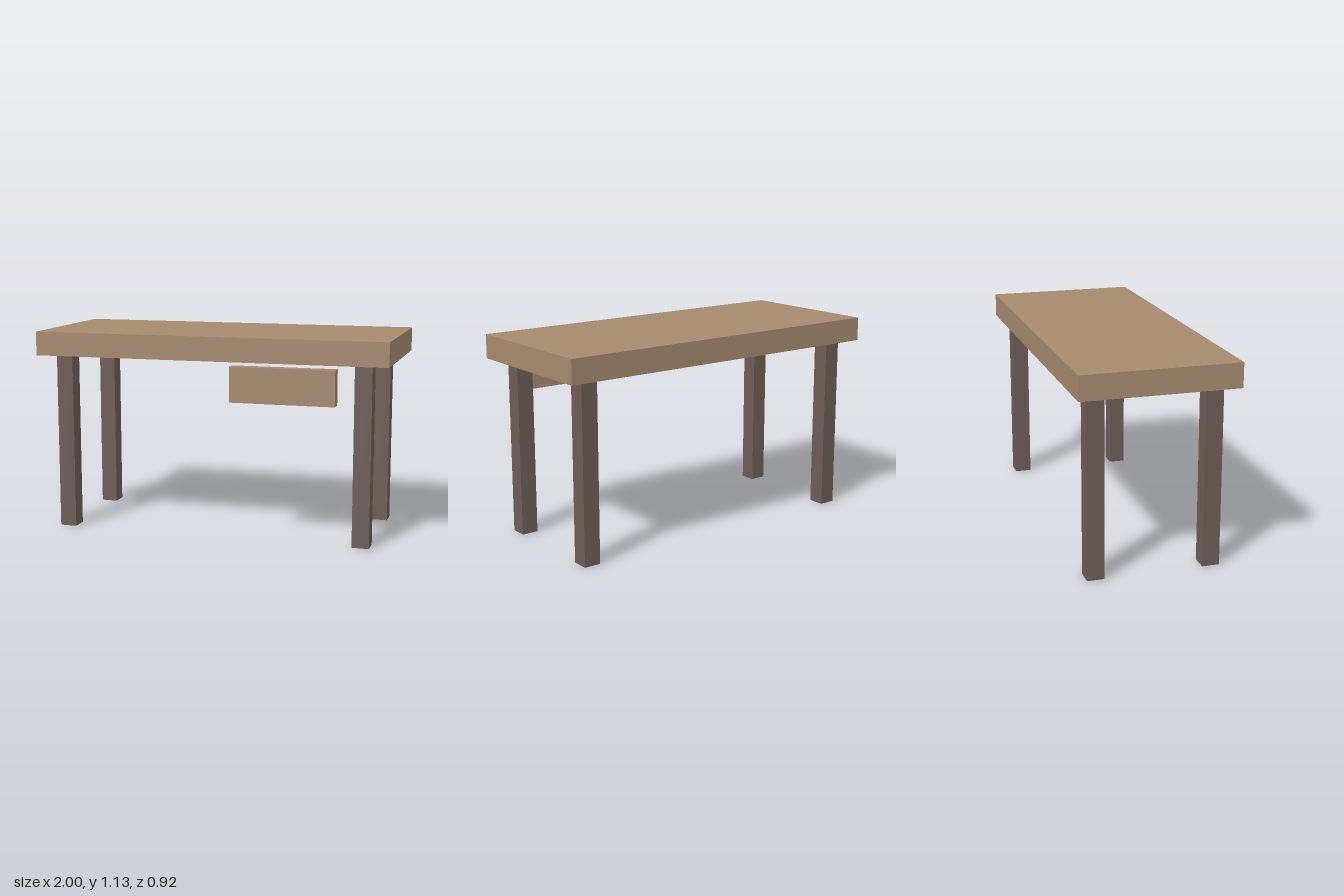
import * as THREE from 'three';

export function createModel() {
  const model = new THREE.Group();
  model.name = 'desk';

  const wood = new THREE.MeshStandardMaterial({ color: 0xa58a6e });
  wood.name = 'light wood';
  const darkWood = new THREE.MeshStandardMaterial({ color: 0x6d5c55 });
  darkWood.name = 'dark wood';

  const addBox = (name, material, [w, h, d], [x, y, z]) => {
    const mesh = new THREE.Mesh(new THREE.BoxGeometry(w, h, d), material);
    mesh.name = name;
    mesh.position.set(x, y, z);
    model.add(mesh);
  };

  // Thick slab top, set slightly back
  const centreZ = -0.031;
  addBox('tabletop', wood, [2, 0.134, 0.856], [0, 1.064, centreZ]);

  // Four square legs
  for (const [side, sx] of [['Left', 1], ['Right', -1]]) {
    for (const [end, sz] of [['front', 1], ['back', -1]]) {
      addBox(`${end}${side}Leg`, darkWood, [0.095, 0.997, 0.095],
        [sx * 0.856, 0.4985, centreZ + sz * 0.317]);
    }
  }

  // Drawer front, hanging just below and ahead of the top
  addBox('drawerFront', wood, [0.576, 0.193, 0.068], [0.44, 0.884, 0.425]);

  return model;
}
